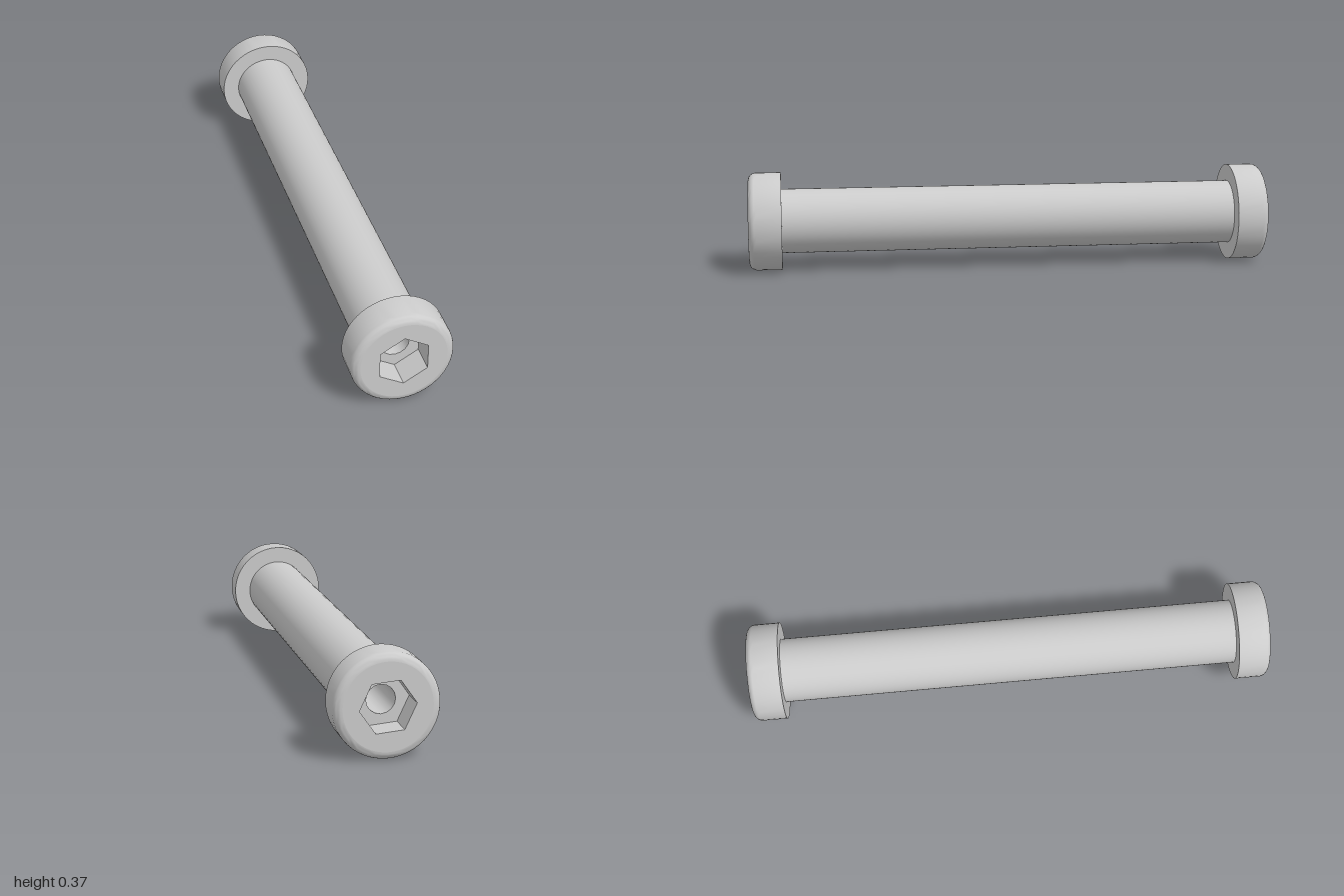
import * as THREE from 'three';
import { toCreasedNormals } from 'three/addons/utils/BufferGeometryUtils.js';

const HEAD_R = 0.187, SHAFT_R = 0.123, BORE_R = 0.052, HEX_R = 0.1;
const HEAD_Z = 0.875, SOCKET_Z = 0.9, FILLET = 0.03, SEGMENTS = 48;

const outside = new THREE.MeshStandardMaterial({ color: 0xcccccc });
const inside = new THREE.MeshStandardMaterial({ color: 0xcccccc, side: THREE.BackSide });
const insideFlat = new THREE.MeshStandardMaterial({ color: 0xcccccc, side: THREE.BackSide, flatShading: true });

function part(name, geometry, material = outside) {
  const mesh = new THREE.Mesh(geometry, material);
  mesh.name = name;
  return mesh;
}

// Open tube along z
function tube(radius, z0, z1, sides) {
  return new THREE.CylinderGeometry(radius, radius, z1 - z0, sides, 1, true)
    .rotateX(Math.PI / 2).translate(0, 0, (z0 + z1) / 2);
}

// Regular polygon outline with one corner up, turned by spin
function polygon(radius, sides, spin = 0) {
  return Array.from({ length: sides }, (_, i) => {
    const a = Math.PI / 2 + spin + (i / sides) * Math.PI * 2;
    return new THREE.Vector2(Math.cos(a) * radius, Math.sin(a) * radius);
  });
}

// Flat plate facing +z with a hole
function plate(outer, hole, z) {
  const shape = new THREE.Shape(outer);
  shape.holes.push(new THREE.Path(hole));
  return new THREE.ShapeGeometry(shape).translate(0, 0, z);
}

// Cap with rounded rim and hex socket, facing +z
function makeHead(name, spin) {
  const head = new THREE.Group();
  head.name = name;
  const profile = [new THREE.Vector2(SHAFT_R, HEAD_Z), new THREE.Vector2(HEAD_R, HEAD_Z)];
  for (let i = 0; i <= 6; i++) {
    const a = (i / 6) * Math.PI / 2;
    profile.push(new THREE.Vector2(
      HEAD_R - FILLET + Math.cos(a) * FILLET, 1 - FILLET + Math.sin(a) * FILLET));
  }
  const rim = new THREE.LatheGeometry(profile, SEGMENTS).rotateX(Math.PI / 2);
  const hex = polygon(HEX_R, 6, spin);
  head.add(
    part('headRim', toCreasedNormals(rim, 0.6)),
    part('headFace', plate(polygon(HEAD_R - FILLET, SEGMENTS), hex, 1)),
    part('socketWalls', tube(HEX_R, SOCKET_Z, 1, 6).rotateZ(spin), insideFlat),
    part('socketFloor', plate(hex, polygon(BORE_R, 16), SOCKET_Z)),
  );
  return head;
}

export function createModel() {
  const model = new THREE.Group();
  model.name = 'bolt';

  // Shaft and through bore
  model.add(part('shaft', tube(SHAFT_R, -HEAD_Z, HEAD_Z, SEGMENTS)));
  model.add(part('bore', tube(BORE_R, -SOCKET_Z, SOCKET_Z, 16), inside));

  // Heads at both ends, the back socket turned relative to the front
  const back = makeHead('backHead', THREE.MathUtils.degToRad(-25));
  back.rotation.y = Math.PI;
  model.add(makeHead('frontHead', 0), back);

  model.position.y = HEAD_R;
  const root = new THREE.Group();
  root.add(model);
  return root;
}
